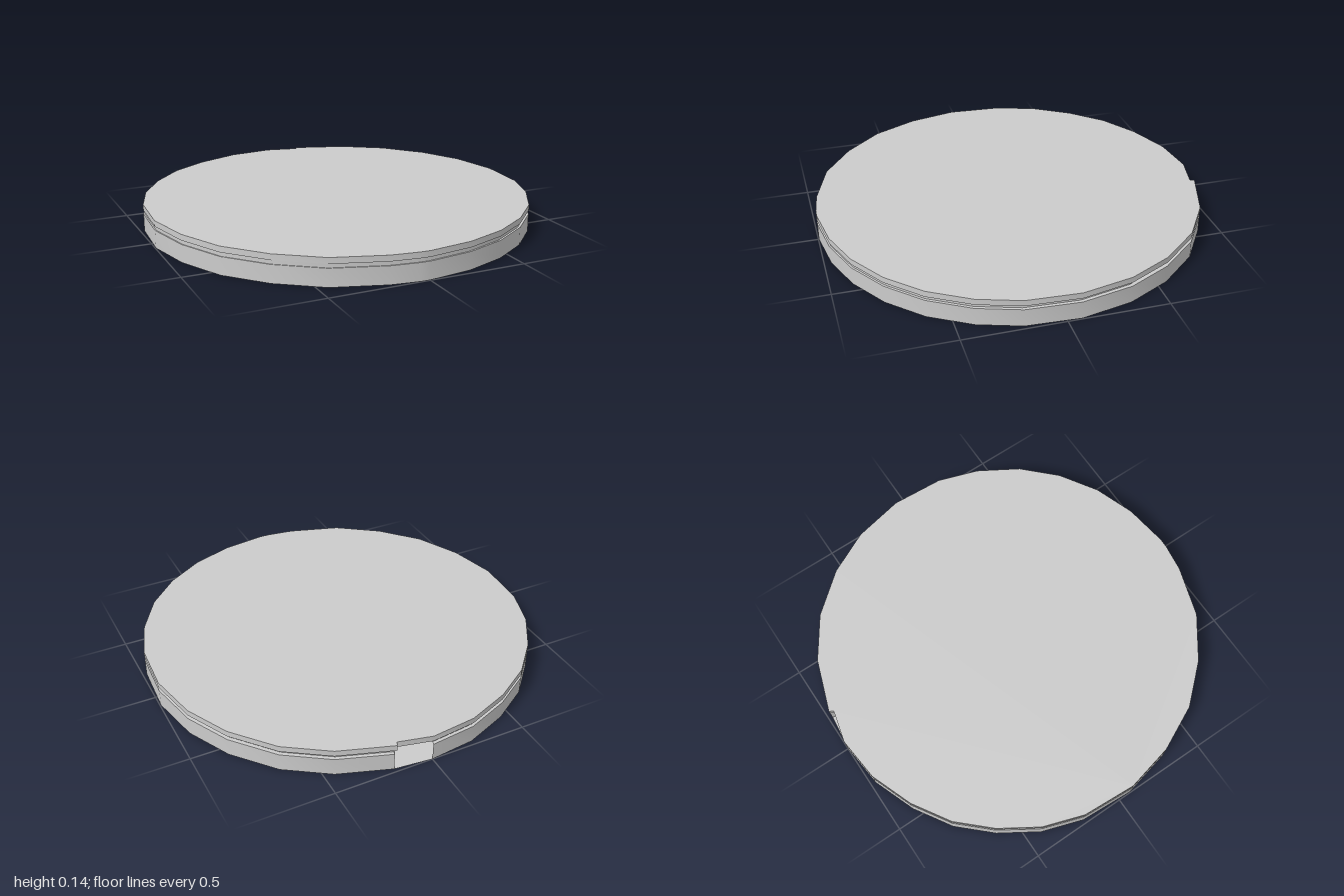
import * as THREE from 'three';
import { toCreasedNormals } from 'three/addons/utils/BufferGeometryUtils.js';

// Uneven rim of the disc as x, z pairs, starting at the back and running toward +x
const RIM = [
  [0, -1], [0.19, -0.98], [0.45, -0.89], [0.66, -0.75], [0.83, -0.55], [0.94, -0.33],
  [0.995, -0.07], [0.98, 0.2], [0.91, 0.41], [0.79, 0.61], [0.63, 0.77], [0.44, 0.89],
  [0.23, 0.965], [0, 0.997], [-0.05, 0.995], [-0.19, 0.975], [-0.45, 0.89], [-0.66, 0.74],
  [-0.83, 0.55], [-0.94, 0.32], [-0.997, 0.07], [-0.98, -0.21], [-0.91, -0.42],
  [-0.79, -0.61], [-0.64, -0.77], [-0.45, -0.89], [-0.23, -0.975],
];
const GROOVE_BOTTOM = 0.09, GROOVE_TOP = 0.11, HEIGHT = 0.14;

const material = new THREE.MeshStandardMaterial({ color: 0xcccccc, side: THREE.DoubleSide });

// Band of quads between two matching loops; start = 1 leaves the first segment open
function band(low, yLow, high, yHigh, start) {
  const pos = [];
  for (let i = start; i < low.length; i++) {
    const j = (i + 1) % low.length;
    const a = [low[i][0], yLow, low[i][1]], b = [high[i][0], yHigh, high[i][1]];
    const c = [high[j][0], yHigh, high[j][1]], d = [low[j][0], yLow, low[j][1]];
    pos.push(...a, ...b, ...c, ...a, ...c, ...d);
  }
  const geo = new THREE.BufferGeometry();
  geo.setAttribute('position', new THREE.Float32BufferAttribute(pos, 3));
  geo.computeVertexNormals();
  return toCreasedNormals(geo, 0.5);
}

// Flat face filling a loop
function cap(loop, y, facesUp) {
  const shape = new THREE.Shape(loop.map(([x, z]) => new THREE.Vector2(x, facesUp ? -z : z)));
  return new THREE.ShapeGeometry(shape).rotateX(facesUp ? -Math.PI / 2 : Math.PI / 2).translate(0, y, 0);
}

export function createModel() {
  const group = new THREE.Group();
  const add = (name, geo) => {
    const mesh = new THREE.Mesh(geo, material);
    mesh.name = name;
    group.add(mesh);
  };

  // Lid cuts across the notch with a straight edge; the groove sits slightly off centre
  const lid = [RIM[0], [0.17, -0.96], [0.18, -0.982], ...RIM.slice(2)];
  const groove = RIM.map(([x, z]) => [x * 0.988 - 0.005, z * 0.988 + 0.005]);

  // Base, with one wall segment left open for the notch
  add('baseBottom', cap(RIM, 0, false));
  add('baseWall', band(RIM, 0, RIM, GROOVE_BOTTOM, 1));
  add('baseLedge', band(RIM, GROOVE_BOTTOM, groove, GROOVE_BOTTOM, 1));
  add('grooveWall', band(groove, GROOVE_BOTTOM, groove, GROOVE_TOP, 1));

  // Radial wall closing the side of the notch
  const [nx, nz] = RIM[1];
  const wall = new THREE.PlaneGeometry(0.3, GROOVE_TOP).rotateY(Math.atan2(-nz, nx));
  wall.translate(nx * 0.85, GROOVE_TOP / 2, nz * 0.85);
  add('notchWall', wall);

  // Lid
  add('lidUnderside', cap(lid, GROOVE_TOP, false));
  add('lidWall', band(lid, GROOVE_TOP, lid, HEIGHT, 0));
  add('lidTop', cap(lid, HEIGHT, true));
  return group;
}
